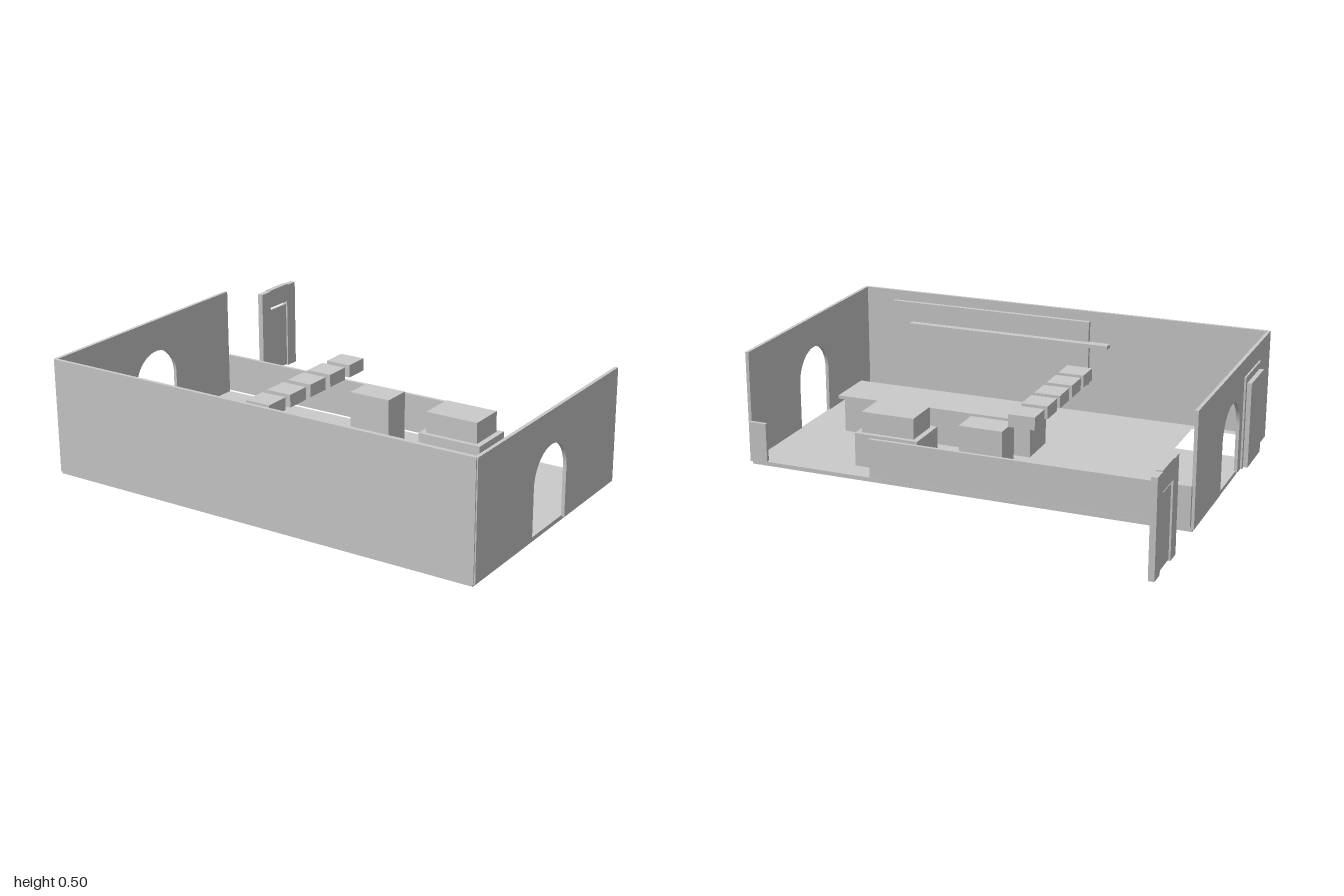
import * as THREE from 'three';

const mat = new THREE.MeshStandardMaterial({ color: 0xcccccc, flatShading: true });

export function createModel() {
  const root = new THREE.Group();
  root.name = 'room';

  const add = (name, geometry, parent = root) => {
    const mesh = new THREE.Mesh(geometry, mat);
    mesh.name = name;
    parent.add(mesh);
    return mesh;
  };
  // Box given by its limits on each axis
  const box = (name, [x0, x1], [y0, y1], [z0, z1], parent) => {
    const mesh = add(name, new THREE.BoxGeometry(x1 - x0, y1 - y0, z1 - z0), parent);
    mesh.position.set((x0 + x1) / 2, (y0 + y1) / 2, (z0 + z1) / 2);
    return mesh;
  };

  // Floor with a square hatch opening
  const rect = (s, x0, x1, z0, z1) =>
    s.moveTo(x0, -z0).lineTo(x1, -z0).lineTo(x1, -z1).lineTo(x0, -z1).closePath();
  const floorShape = new THREE.Shape();
  rect(floorShape, -0.965, 0.985, -0.31, 0.83);
  const hatch = new THREE.Path();
  rect(hatch, -0.92, -0.65, 0.51, 0.78);
  floorShape.holes.push(hatch);
  const floorGeo = new THREE.ExtrudeGeometry(floorShape, { depth: 0.018, bevelEnabled: false });
  add('floor', floorGeo.rotateX(-Math.PI / 2));

  // Side walls, each with an arched doorway open at the bottom
  const archWall = (name, x, archZ) => {
    const r = 0.135, spring = 0.225, y0 = 0.01;
    const s = new THREE.Shape();
    s.moveTo(-0.83, y0).lineTo(-archZ - r, y0).lineTo(-archZ - r, spring);
    s.absarc(-archZ, spring, r, Math.PI, 0, true);
    s.lineTo(-archZ + r, y0).lineTo(0.31, y0).lineTo(0.31, 0.5).lineTo(-0.83, 0.5).closePath();
    const geo = new THREE.ExtrudeGeometry(s, { depth: 0.015, bevelEnabled: false, curveSegments: 24 });
    add(name, geo.rotateY(Math.PI / 2)).position.x = x;
  };
  archWall('leftWall', 0.98, 0.26);
  archWall('rightWall', -0.972, 0.21);

  // Front wall and low back walls
  box('frontWall', [-0.965, 0.99], [0.01, 0.5], [0.82, 0.835]);
  box('backWallLong', [-0.96, 0.42], [0.025, 0.195], [-0.325, -0.31]);
  box('backWallShort', [0.905, 0.985], [0.025, 0.195], [-0.325, -0.31]);

  // Closed door on the outside of the right wall
  const sideDoor = new THREE.Group();
  sideDoor.name = 'sideDoor';
  root.add(sideDoor);
  box('sideDoorFrame', [-0.98, -0.97], [0.012, 0.42], [0.39, 0.645], sideDoor);
  box('sideDoorPanel', [-1, -0.975], [0.015, 0.39], [0.41, 0.62], sideDoor);

  // Separate door with posts and lintel
  const freeDoor = new THREE.Group();
  freeDoor.name = 'freestandingDoor';
  root.add(freeDoor);
  for (const z of [-0.835, -0.635]) {
    box('doorPost', [-0.975, -0.95], [0.015, 0.42], [z, z + 0.065], freeDoor);
  }
  box('doorLintel', [-0.975, -0.95], [0.34, 0.425], [-0.775, -0.635], freeDoor);
  box('doorPanel', [-0.967, -0.957], [0.02, 0.325], [-0.77, -0.635], freeDoor);

  // Long counter
  box('counterBase', [-0.105, 0.78], [0.015, 0.175], [0.165, 0.358]);
  box('counterTop', [-0.125, 0.8], [0.175, 0.19], [0.143, 0.37]);

  // Row of raised seats
  for (let i = 0; i < 5; i++) {
    const z = -0.168 + i * 0.146;
    box('seat', [-0.275, -0.16], [0.295, 0.35], [z - 0.056, z + 0.056]);
  }

  // Cabinet and stepped stove
  box('cabinet', [-0.118, 0.075], [0.015, 0.255], [-0.185, -0.055]);
  box('stoveBase', [0.255, 0.545], [0.015, 0.165], [-0.205, 0]);
  box('stoveTop', [0.28, 0.52], [0.165, 0.257], [-0.185, -0.02]);

  // Wall board and shelf
  box('wallBoard', [-0.15, 0.825], [0.16, 0.46], [0.78, 0.8]);
  box('shelf', [-0.25, 0.73], [0.35, 0.367], [0.747, 0.79]);

  return root;
}
